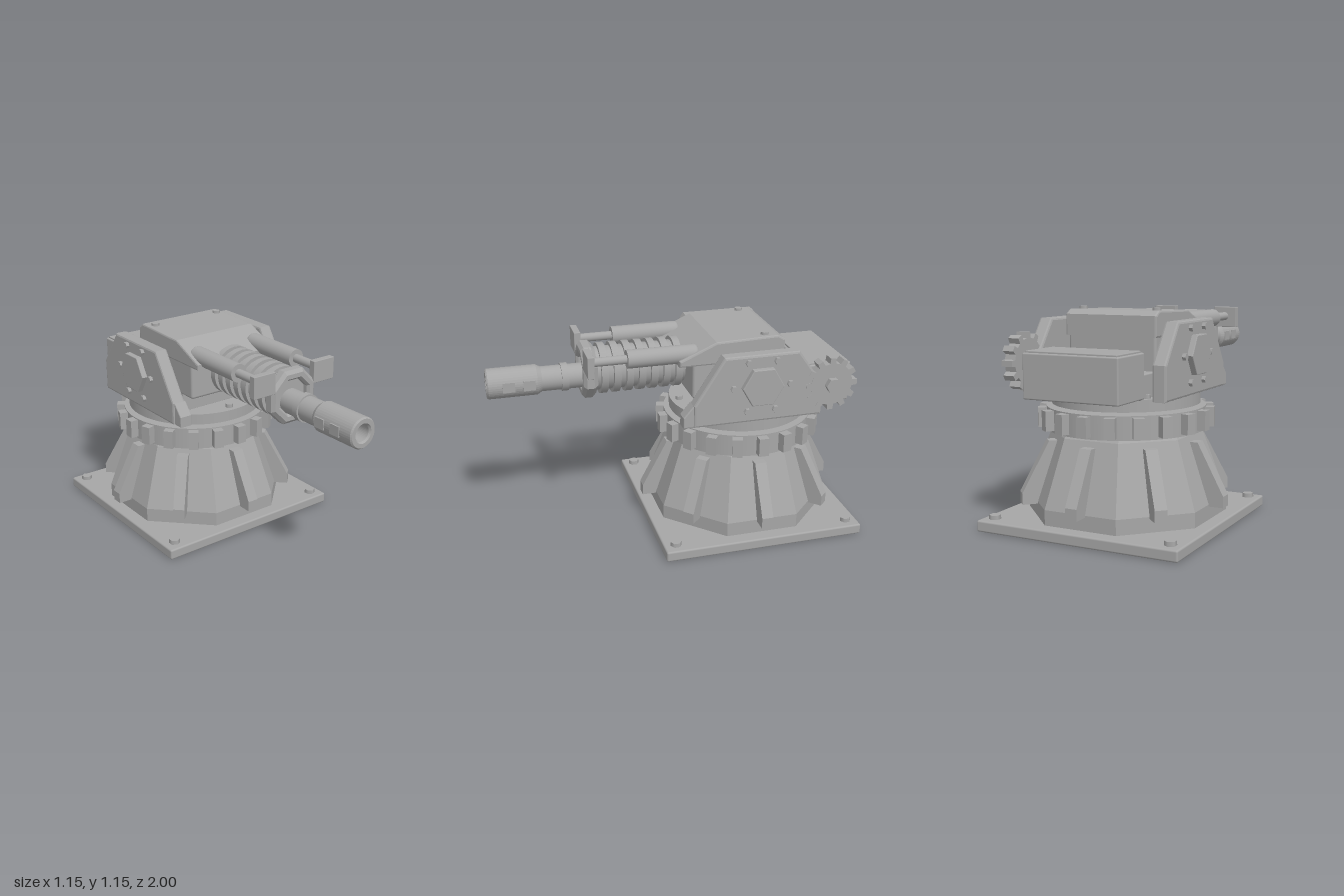
import * as THREE from 'three';
import { RoundedBoxGeometry } from 'three/addons/geometries/RoundedBoxGeometry.js';

const metal = new THREE.MeshStandardMaterial({ color: 0xa6a6a6 });
metal.name = 'grey metal';
const Z0 = -0.425; // turntable axis
const AXIS_Y = 0.945; // recoil spring axis

export function createModel() {
  const model = new THREE.Group();
  model.name = 'turret';

  function add(name, geometry, x = 0, y = 0, z = 0, parent = model) {
    const mesh = new THREE.Mesh(geometry, metal);
    mesh.name = name;
    mesh.position.set(x, y, z);
    parent.add(mesh);
    return mesh;
  }
  // box given by its limits, with softened edges
  function box(name, x0, x1, y0, y1, z0, z1, r = 0.008) {
    return add(name, new RoundedBoxGeometry(x1 - x0, y1 - y0, z1 - z0, 2, r),
      (x0 + x1) / 2, (y0 + y1) / 2, (z0 + z1) / 2);
  }
  // [z, y] outline extruded from x0 to x1
  function sideways(points, x0, x1, bevel = 0) {
    const shape = new THREE.Shape(points.map(([z, y]) => new THREE.Vector2(-z, y)));
    const g = new THREE.ExtrudeGeometry(shape, {
      depth: x1 - x0 - 2 * bevel, bevelEnabled: bevel > 0,
      bevelSize: bevel, bevelOffset: -bevel, bevelThickness: bevel, bevelSegments: 2,
    });
    return g.translate(0, 0, x0 + bevel).rotateY(Math.PI / 2);
  }
  function ngon(n, r, cz, cy) {
    return Array.from({ length: n }, (_, i) => {
      const a = (i / n) * Math.PI * 2;
      return [cz + r * Math.cos(a), cy + r * Math.sin(a)];
    });
  }
  // cylinder along z
  function rod(name, r, z0, z1, x, y) {
    return add(name, new THREE.CylinderGeometry(r, r, z1 - z0, 32).rotateX(Math.PI / 2), x, y, (z0 + z1) / 2);
  }
  // [radius, z] profile turned about z
  function turned(points, segments) {
    const k = segments < 12 ? 1 / Math.cos(Math.PI / segments) : 1;
    let g = new THREE.LatheGeometry(points.map(([r, z]) => new THREE.Vector2(r * k, z)), segments, Math.PI / segments);
    g = g.rotateX(Math.PI / 2).toNonIndexed();
    g.computeVertexNormals();
    return g;
  }
  const hexBolt = (r, h) => new THREE.CylinderGeometry(r * 0.94, r, h, 6).toNonIndexed();

  // base plate with corner bolts
  box('basePlate', -0.573, 0.573, 0, 0.06, -0.998, 0.148, 0.01);
  for (const sx of [-1, 1]) for (const sz of [-1, 1])
    add('plateBolt', hexBolt(0.032, 0.025), sx * 0.505, 0.07, Z0 + sz * 0.505);

  // eight-sided pedestal
  const k8 = 1 / Math.cos(Math.PI / 8);
  const profile = [[0, 0.05], [0.495, 0.05], [0.495, 0.14], [0.376, 0.49], [0.366, 0.505], [0, 0.505]];
  const pedestal = new THREE.LatheGeometry(profile.map(([r, y]) => new THREE.Vector2(r * k8, y)), 8, Math.PI / 8).toNonIndexed();
  pedestal.computeVertexNormals();
  add('pedestal', pedestal, 0, 0, Z0);

  // buttress ribs
  const ribShape = new THREE.Shape([[0.46, 0.13], [0.575, 0.13], [0.575, 0.19], [0.43, 0.46], [0.35, 0.46]]
    .map(([x, y]) => new THREE.Vector2(x, y)));
  const ribGeo = new THREE.ExtrudeGeometry(ribShape, { depth: 0.065, bevelEnabled: false }).translate(0, 0, -0.0325);
  for (let i = 0; i < 8; i++) add('rib', ribGeo, 0, 0, Z0).rotation.y = (i * Math.PI) / 4;

  // toothed slewing ring
  add('ring', new THREE.CylinderGeometry(0.425, 0.425, 0.123, 64), 0, 0.57, Z0);
  add('ringHub', new THREE.CylinderGeometry(0.3, 0.3, 0.2, 32), 0, 0.58, Z0);
  const tooth = new THREE.BoxGeometry(0.08, 0.104, 0.056).translate(0.43, 0, 0);
  for (let i = 0; i < 20; i++) add('ringTooth', tooth, 0, 0.573, Z0).rotation.y = (i * Math.PI) / 10;

  // turntable and its bolts
  add('turntable', new THREE.CylinderGeometry(0.395, 0.395, 0.062, 64), 0, 0.675, Z0);
  for (let i = 0; i < 8; i++) {
    const a = (i * Math.PI) / 4;
    add('turntableBolt', hexBolt(0.022, 0.022), 0.348 * Math.sin(a), 0.715, Z0 + 0.348 * Math.cos(a));
  }

  // cheek plates, mirrored
  const cheek = [[-0.045, 0.705], [-0.045, 0.83], [-0.21, 1.087], [-0.63, 1.087], [-0.775, 0.885], [-0.775, 0.705]];
  const foot = [[0.01, 0.705], [0.01, 0.765], [-0.045, 0.83], [-0.16, 0.83], [-0.16, 0.705]];
  for (const s of [-1, 1]) {
    const part = (name, pts, a, b, bevel) =>
      add(name, sideways(pts, Math.min(s * a, s * b), Math.max(s * a, s * b), bevel));
    part('cheek', cheek, 0.328, 0.405, 0.012);
    part('cheekFoot', foot, 0.322, 0.395, 0.006);
    part('cheekHexPlate', ngon(6, 0.117, -0.42, 0.912), 0.4, 0.437, 0.004);
    for (const [z, y] of ngon(6, 0.16, -0.42, 0.912))
      part('cheekBolt', ngon(6, 0.019, z, y), 0.4, 0.425);
  }

  // elevation gear on the left side
  const gearOutline = [];
  for (let i = 0; i < 12; i++)
    for (const [da, r] of [[-0.15, 0.12], [-0.1, 0.15], [0.1, 0.15], [0.15, 0.12]]) {
      const a = (i * Math.PI) / 6 + da;
      gearOutline.push([-0.825 + r * Math.cos(a), 0.878 + r * Math.sin(a)]);
    }
  add('gear', sideways(gearOutline, 0.344, 0.407));
  add('gearNut', sideways(ngon(6, 0.042, -0.825, 0.878), 0.4, 0.438));
  add('gearAxle', sideways(ngon(24, 0.04, -0.825, 0.878), 0.24, 0.35));

  // rear counterweight
  box('counterweight', -0.267, 0.267, 0.71, 0.94, -0.998, -0.73, 0.008);
  box('counterweightLid', -0.255, 0.255, 0.93, 0.95, -0.985, -0.745, 0.004);

  // gun body and cover
  box('bodyBase', -0.25, 0.25, 0.7, 0.83, -0.74, -0.18);
  box('body', -0.255, 0.255, 0.808, 1.07, -0.585, -0.08, 0.015);
  const cover = [[-0.005, 1.0], [-0.005, 1.035], [-0.21, 1.125], [-0.56, 1.135], [-0.6, 1.11], [-0.6, 1.0]];
  add('cover', sideways(cover, -0.265, 0.265, 0.01));
  for (const s of [-1, 1]) add('coverBolt', hexBolt(0.024, 0.02), s * 0.217, 1.137, -0.495);
  box('feedPort', 0.24, 0.31, 0.942, 1.015, -0.37, -0.22, 0.004);
  box('feedPortLip', 0.3, 0.32, 0.932, 1.02, -0.38, -0.21, 0.004);
  add('bodyPin', sideways(ngon(6, 0.018, -0.3, 0.955), -0.268, -0.24));

  // recoil spring
  rod('springCore', 0.12, -0.12, 0.43, 0, AXIS_Y);
  for (let i = 0; i < 7; i++) rod('springRing', 0.14, -0.06 + i * 0.069, -0.022 + i * 0.069, 0, AXIS_Y);

  // octagonal collar with a recessed face
  add('collar', turned([[0, 0.455], [0.092, 0.455], [0.092, 0.478], [0.104, 0.492], [0.128, 0.492],
    [0.146, 0.475], [0.146, 0.435], [0.125, 0.412], [0, 0.412]], 8), 0, AXIS_Y, 0);

  // barrel and bored muzzle
  const BY = 0.913;
  rod('barrel', 0.068, 0.42, 0.74, 0, BY);
  rod('barrelBand', 0.077, 0.56, 0.597, 0, BY);
  const bore = new THREE.LatheGeometry([[0, 0.85], [0.045, 0.85], [0.045, 0.85], [0.045, 0.99], [0.045, 0.99], [0.053, 1],
    [0.053, 1], [0.076, 1], [0.076, 1], [0.083, 0.992], [0.083, 0.992], [0.083, 0.73], [0.083, 0.73], [0.068, 0.705]]
    .map(([r, z]) => new THREE.Vector2(r, z)), 40).rotateX(Math.PI / 2);
  add('muzzle', orient(bore), 0, BY, 0);
  for (const s of [-1, 1]) for (const z of [0.775, 0.885])
    add('muzzleVent', new THREE.BoxGeometry(0.008, 0.055, 0.065), s * 0.083, BY, z);

  // guide rods, sleeves and end plates, mirrored
  for (const s of [-1, 1]) {
    rod('guideSleeve', 0.05, -0.1, 0.27, s * 0.197, 1.055);
    const cap = add('sleeveCap', new THREE.SphereGeometry(0.05, 24, 16), s * 0.197, 1.055, -0.1);
    cap.scale.z = 0.6;
    rod('guideRod', 0.024, 0.26, 0.47, s * 0.197, 1.055);
    const x = s * 0.2;
    box('rodPlate', x - 0.07, x + 0.07, 0.99, 1.11, 0.455, 0.492, 0.003);
  }

  // turned parts face outward whichever way their profile runs
  function orient(g) {
    const p = g.attributes.position, ix = g.index.array;
    let volume = 0;
    const a = new THREE.Vector3(), b = new THREE.Vector3(), c = new THREE.Vector3();
    for (let i = 0; i < ix.length; i += 3) {
      a.fromBufferAttribute(p, ix[i]); b.fromBufferAttribute(p, ix[i + 1]); c.fromBufferAttribute(p, ix[i + 2]);
      a.z -= 0.705; b.z -= 0.705; c.z -= 0.705;
      volume += a.dot(b.cross(c));
    }
    if (volume < 0) for (let i = 0; i < ix.length; i += 3) [ix[i], ix[i + 1]] = [ix[i + 1], ix[i]];
    const flat = g.toNonIndexed();
    flat.computeVertexNormals();
    return flat;
  }
  // the collar profile runs front to back, so flip it to face outward
  const collar = model.getObjectByName('collar').geometry.attributes.position;
  for (let i = 0; i < collar.count; i += 3) {
    const v = [0, 1, 2].map((k) => new THREE.Vector3().fromBufferAttribute(collar, i + k));
    collar.setXYZ(i, v[1].x, v[1].y, v[1].z);
    collar.setXYZ(i + 1, v[0].x, v[0].y, v[0].z);
  }
  model.getObjectByName('collar').geometry.computeVertexNormals();

  return model;
}
